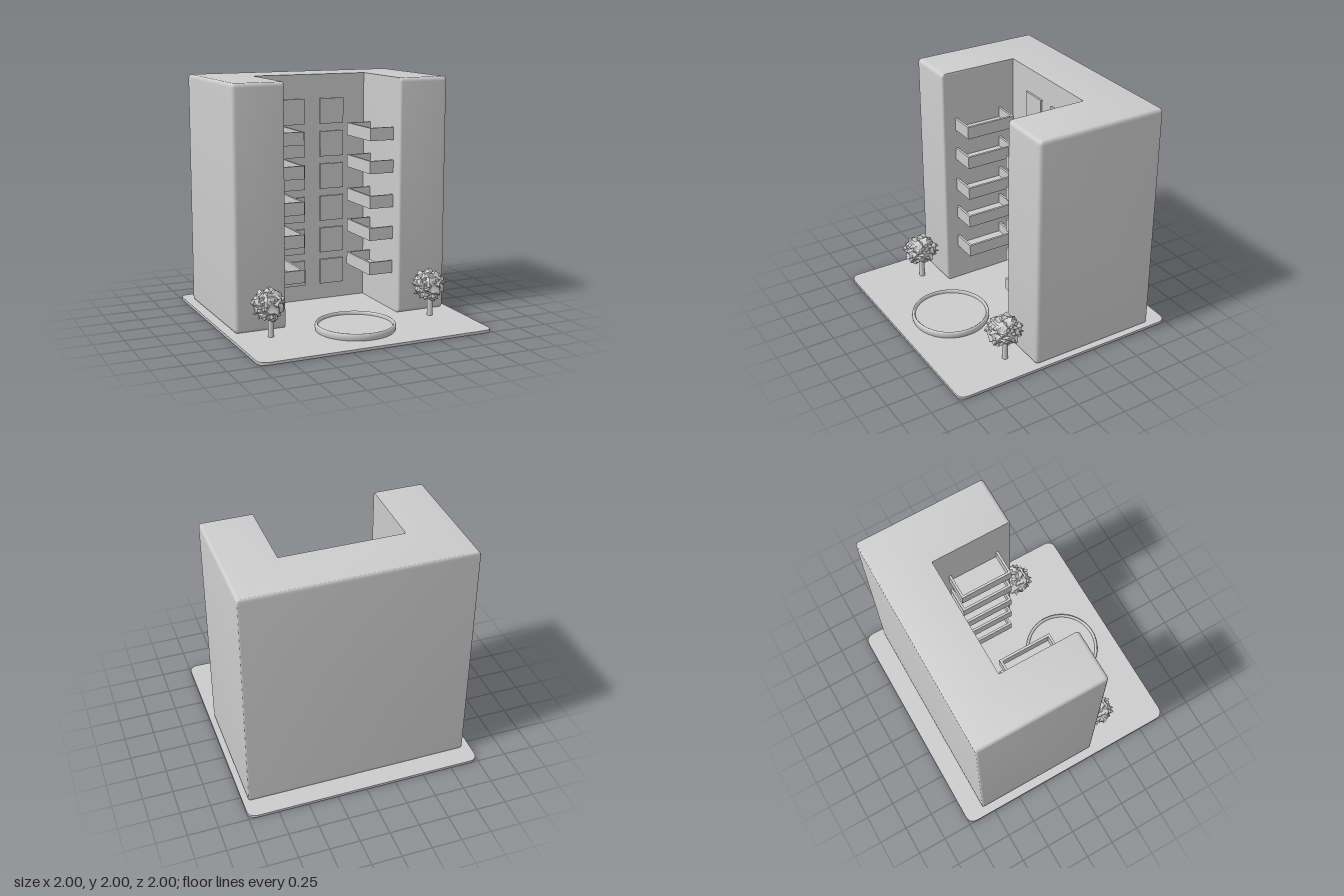
import * as THREE from 'three';
import { mergeVertices, toCreasedNormals } from 'three/addons/utils/BufferGeometryUtils.js';

const material = new THREE.MeshStandardMaterial({ color: 0xcccccc });

function addMesh(parent, name, geometry, x = 0, y = 0, z = 0) {
  const mesh = new THREE.Mesh(geometry, material);
  mesh.name = name;
  mesh.position.set(x, y, z);
  parent.add(mesh);
  return mesh;
}

// Box given by its lowest and highest corners
function addBox(parent, name, [x0, y0, z0], [x1, y1, z1]) {
  return addMesh(parent, name, new THREE.BoxGeometry(x1 - x0, y1 - y0, z1 - z0),
    (x0 + x1) / 2, (y0 + y1) / 2, (z0 + z1) / 2);
}

// Plan outline from [x, z, cornerRadius], counter-clockwise seen from above
function planShape(corners) {
  const shape = new THREE.Shape();
  const n = corners.length;
  corners.forEach(([x, z, r], i) => {
    const p = new THREE.Vector2(x, -z);
    const towards = ([a, b]) => new THREE.Vector2(a, -b).sub(p).setLength(r).add(p);
    if (r === 0) {
      if (i === 0) shape.moveTo(p.x, p.y); else shape.lineTo(p.x, p.y);
      return;
    }
    const a = towards(corners[(i + n - 1) % n]);
    const b = towards(corners[(i + 1) % n]);
    if (i === 0) shape.moveTo(a.x, a.y); else shape.lineTo(a.x, a.y);
    shape.quadraticCurveTo(p.x, p.y, b.x, b.y);
  });
  shape.closePath();
  return shape;
}

// U-shaped block: outer top and bottom edges are rounded, courtyard edges stay sharp
function buildingGeometry() {
  const x0 = -0.93, x1 = 0.955, z0 = -0.83, z1 = 0.28, y0 = 0.02, y1 = 2, edge = 0.035;
  const shape = planShape([
    [x0, z1, 0.035], [-0.5, z1, 0.02], [-0.5, -0.4, 0], [0.52, -0.4, 0],
    [0.52, z1, 0.02], [x1, z1, 0.035], [x1, z0, 0.015], [x0, z0, 0.015],
  ]);
  // The zero-size bevel only supplies the extra layers near both ends
  const geometry = new THREE.ExtrudeGeometry(shape, {
    depth: y1 - y0 - 2 * edge, bevelEnabled: true, bevelThickness: edge,
    bevelSize: 0, bevelSegments: 5, curveSegments: 5,
  });
  geometry.rotateX(-Math.PI / 2).translate(0, y0 + edge, 0);
  const p = geometry.attributes.position;
  // Pull the outer sides in along a quarter circle
  const pull = (v, limit, r, t) => {
    const s = Math.sign(limit);
    const excess = (v - limit) * s + r;
    return excess > 0 ? v - s * excess * t : v;
  };
  for (let i = 0; i < p.count; i++) {
    const y = p.getY(i);
    const h = Math.max(0, y - (y1 - edge), y0 + edge - y) / edge;
    const t = 0.95 * (1 - Math.sqrt(Math.max(0, 1 - h * h)));
    const x = pull(pull(p.getX(i), x0, 0.025, t), x1, 0.025, t);
    const z = pull(pull(p.getZ(i), z0, 0.012, t), z1, 0.035, t);
    p.setXYZ(i, x, y, z);
  }
  return toCreasedNormals(geometry, 0.7);
}

// Open tray balcony fixed to a wall at x = wall, reaching to x = outer
function addBalcony(parent, wall, outer, y0, y1) {
  const balcony = new THREE.Group();
  balcony.name = 'balcony';
  const a = Math.min(wall, outer), b = Math.max(wall, outer);
  const z0 = -0.28, z1 = 0.165, t = 0.02;
  const railX = outer < wall ? a : b - t;
  addBox(balcony, 'balconyFloor', [a, y0, z0], [b, y0 + t, z1]);
  addBox(balcony, 'balconyFrontRail', [railX, y0, z0], [railX + t, y1, z1]);
  addBox(balcony, 'balconyBackEnd', [a, y0, z0], [b, y1, z0 + t]);
  addBox(balcony, 'balconyFrontEnd', [a, y0, z1 - t], [b, y1, z1]);
  parent.add(balcony);
}

// Small seeded generator for the ragged leaves
function seeded(seed) {
  return () => {
    seed = (seed * 16807) % 2147483647;
    return seed / 2147483647;
  };
}

function foliageGeometry() {
  let geometry = new THREE.IcosahedronGeometry(1, 6);
  geometry.deleteAttribute('normal');
  geometry.deleteAttribute('uv');
  geometry = mergeVertices(geometry, 1e-4);
  const random = seeded(4711);
  const p = geometry.attributes.position;
  const v = new THREE.Vector3();
  for (let i = 0; i < p.count; i++) {
    v.fromBufferAttribute(p, i).normalize();
    const lumps = Math.sin(7 * v.x + 2 * v.y) * Math.sin(8 * v.y + 1) * Math.cos(7 * v.z + v.x);
    const spike = Math.pow(random(), 4);
    v.multiplyScalar(0.116 + 0.012 * lumps + 0.036 * spike);
    v.x += 0.012 * (random() - 0.5);
    v.y += 0.012 * (random() - 0.5);
    v.z += 0.012 * (random() - 0.5);
    p.setXYZ(i, v.x, v.y * 0.95, v.z * 1.08);
  }
  return toCreasedNormals(geometry, 0.6);
}

export function createModel() {
  const model = new THREE.Group();
  model.name = 'apartmentBlock';

  // Ground slab
  const slab = new THREE.ExtrudeGeometry(
    planShape([[-1, 1, 0.08], [1, 1, 0.08], [1, -1, 0.08], [-1, -1, 0.08]]),
    { depth: 0.022, bevelEnabled: false, curveSegments: 8 });
  addMesh(model, 'groundSlab', slab.rotateX(-Math.PI / 2));

  addMesh(model, 'building', buildingGeometry());

  // Windows on the courtyard wall
  for (let row = 0; row < 6; row++) {
    const y = 0.16 + row * 0.283;
    for (const x of [-0.265, 0.098]) {
      addBox(model, 'window', [x, y, -0.41], [x + 0.218, y + 0.218, -0.383]);
    }
  }

  // Balconies on both inner wing walls
  for (const y of [0.345, 0.64, 0.912, 1.205, 1.48]) {
    addBalcony(model, -0.51, -0.285, y, y + 0.107);
    addBalcony(model, 0.53, 0.305, y, y + 0.107);
  }

  // Round pool with a rounded rim
  const rim = [[0.302, 0.02], [0.302, 0.062], [0.306, 0.073], [0.313, 0.078],
    [0.32, 0.075], [0.326, 0.066], [0.328, 0.05], [0.326, 0.033], [0.321, 0.02]]
    .map(([x, y]) => new THREE.Vector2(x, y)).reverse();
  const rimMesh = addMesh(model, 'poolRim', new THREE.LatheGeometry(rim.reverse(), 64), 0, 0, 0.527);
  rimMesh.material = material.clone();
  rimMesh.material.side = THREE.DoubleSide;
  addMesh(model, 'poolWater', new THREE.CylinderGeometry(0.305, 0.305, 0.03, 64), 0, 0.035, 0.527);

  // Trees in front of both wings
  const foliage = foliageGeometry();
  for (const x of [-0.692, 0.737]) {
    const tree = new THREE.Group();
    tree.name = 'tree';
    tree.position.set(x, 0, 0.437);
    addMesh(tree, 'trunk', new THREE.CylinderGeometry(0.021, 0.025, 0.24, 20), 0, 0.14, 0);
    addMesh(tree, 'foliage', foliage, -0.018, 0.285, 0);
    model.add(tree);
  }
  return model;
}
